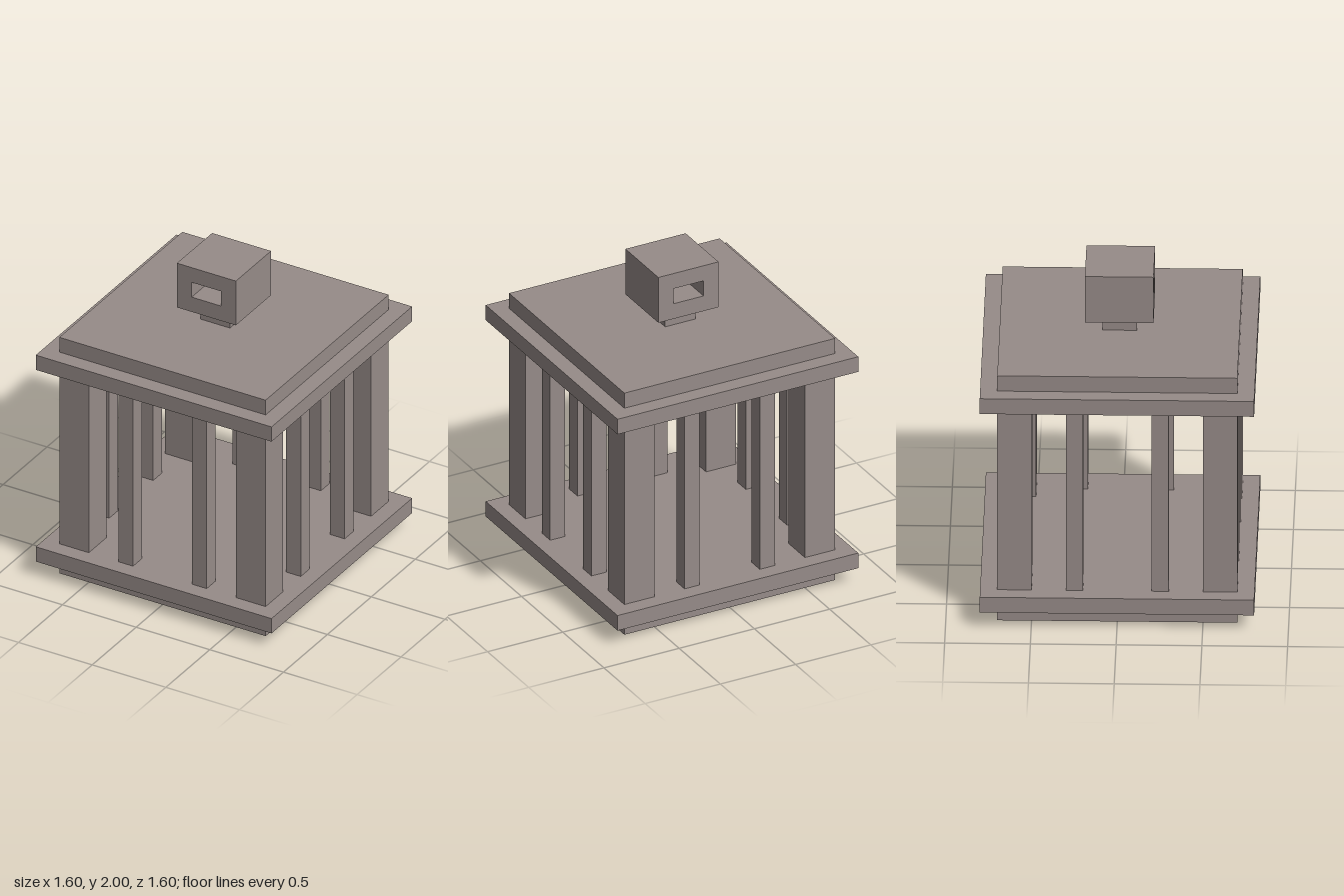
import * as THREE from 'three';

export function createModel() {
  const group = new THREE.Group();
  const stone = new THREE.MeshStandardMaterial({ color: 0x978c89 });
  stone.name = 'warm grey stone';

  const add = (name, geometry, x, y, z) => {
    const mesh = new THREE.Mesh(geometry, stone);
    mesh.name = name;
    mesh.position.set(x, y, z);
    group.add(mesh);
  };
  // Square block standing on height y0
  const block = (name, width, y0, y1, x = 0, z = 0) =>
    add(name, new THREE.BoxGeometry(width, y1 - y0, width), x, (y0 + y1) / 2, z);

  // Stepped base and roof
  block('baseFoot', 1.4, 0, 0.1);
  block('basePlate', 1.6, 0.1, 0.2);
  block('roofPlate', 1.6, 1.4, 1.5);
  block('roofCap', 1.4, 1.5, 1.6);

  // Corner posts, and two slim bars along each side
  for (const a of [-1, 1]) {
    for (const b of [-1, 1]) {
      block('cornerPost', 0.2, 0.2, 1.4, a * 0.6, b * 0.6);
      block('frontBackBar', 0.1, 0.2, 1.4, a * 0.25, b * 0.65);
      block('sideBar', 0.1, 0.2, 1.4, a * 0.65, b * 0.25);
    }
  }

  // Handle: short stem and a block with a slot from front to back
  block('handleStem', 0.2, 1.6, 1.7);
  const rect = (path, x, y0, y1) =>
    path.moveTo(-x, y0).lineTo(x, y0).lineTo(x, y1).lineTo(-x, y1).closePath();
  const outline = new THREE.Shape();
  rect(outline, 0.2, 1.7, 2);
  const slot = new THREE.Path();
  rect(slot, 0.1, 1.8, 1.9);
  outline.holes.push(slot);
  add('handle', new THREE.ExtrudeGeometry(outline, { depth: 0.4, bevelEnabled: false }), 0, 0, -0.2);

  return group;
}
